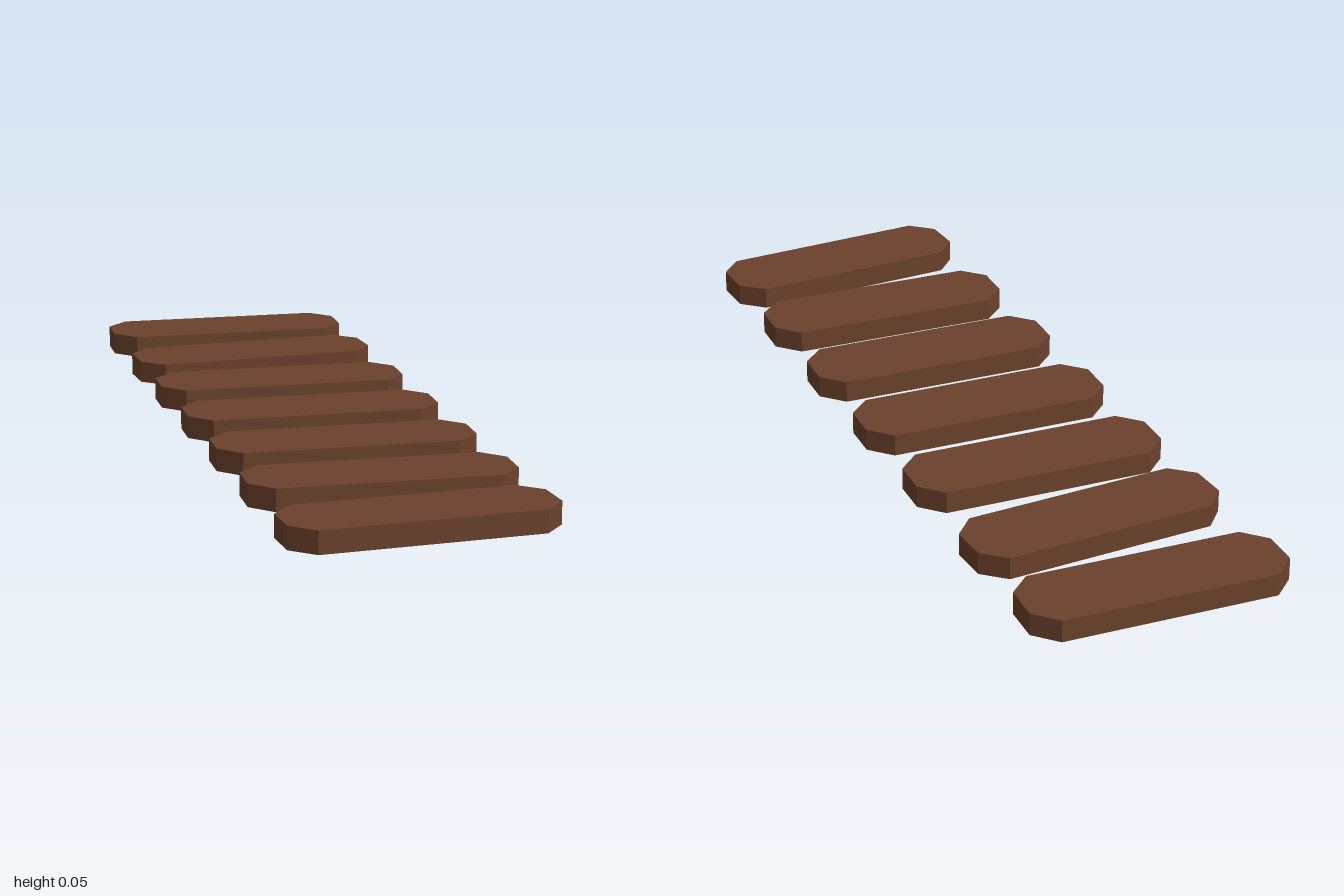
import * as THREE from 'three';

const THICKNESS = 0.052;
const SPACING = 0.2965;
// Slight turn of each plank about the vertical, from back to front
const TURNS = [-0.042, 0.05, -0.036, -0.035, -0.037, -0.04, 0.051];

// Flat plank with cut corners, lying on the ground
function plankGeometry(halfLength, halfWidth, cut) {
  const a = halfLength, b = halfWidth;
  const shape = new THREE.Shape([
    [a - cut, -b], [a, cut - b], [a, b - cut], [a - cut, b],
    [cut - a, b], [-a, b - cut], [-a, cut - b], [cut - a, -b],
  ].map(([x, y]) => new THREE.Vector2(x, y)));
  const geometry = new THREE.ExtrudeGeometry(shape, { depth: THICKNESS, bevelEnabled: false });
  return geometry.rotateX(-Math.PI / 2);
}

export function createModel() {
  const group = new THREE.Group();
  group.name = 'plankPath';
  const wood = new THREE.MeshStandardMaterial({ color: 0x6b422c, flatShading: true });
  const geometry = plankGeometry(0.301, 0.0965, 0.051);

  // Row of planks running from back to front
  TURNS.forEach((turn, i) => {
    const plank = new THREE.Mesh(geometry, wood);
    plank.name = `plank${i + 1}`;
    plank.position.z = (i - 3) * SPACING;
    plank.rotation.y = turn;
    group.add(plank);
  });
  return group;
}
